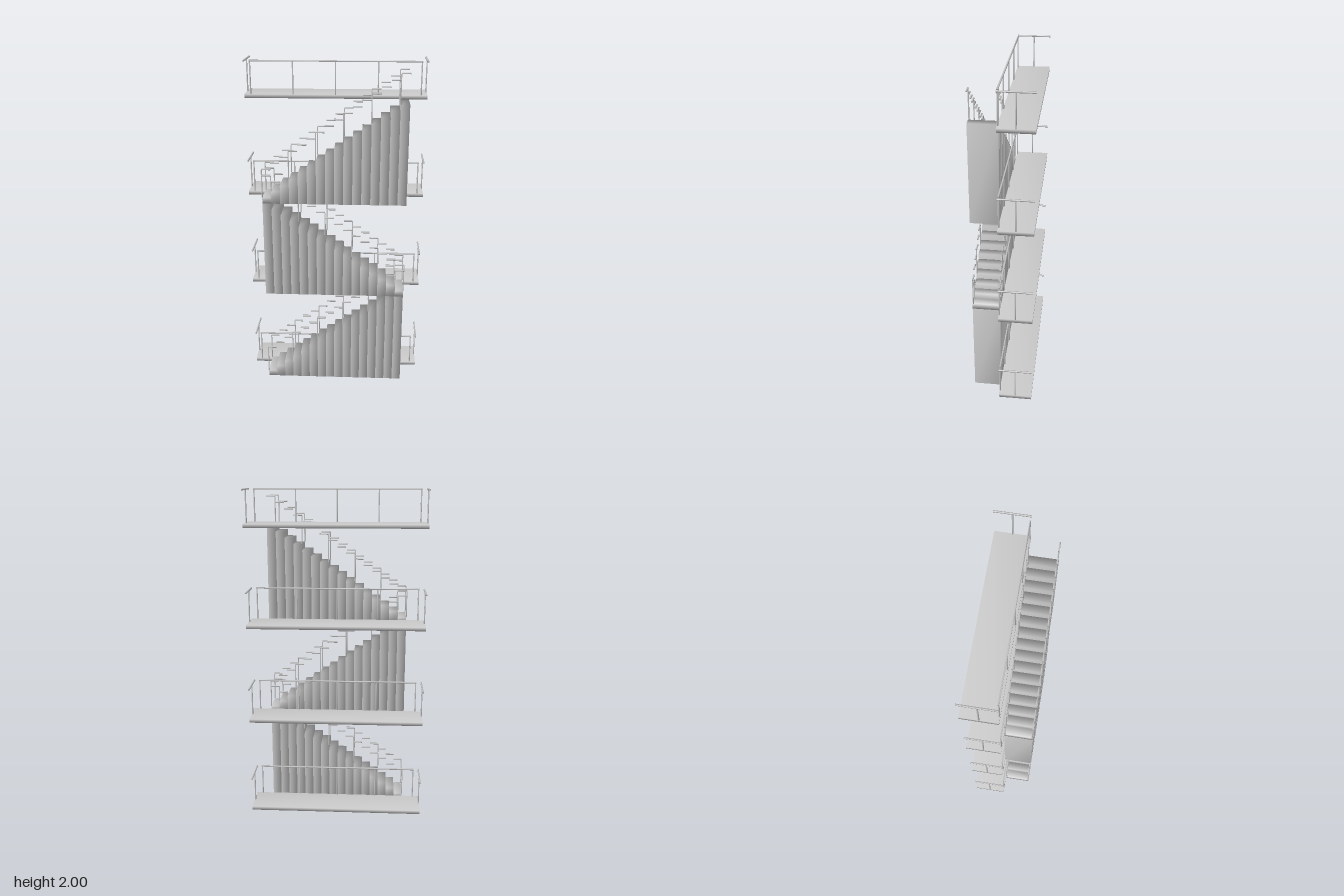
import * as THREE from 'three';
import { mergeVertices } from 'three/addons/utils/BufferGeometryUtils.js';

const STOREY = 0.594, STEPS = 16, FLIGHT = 0.85;
const RUN = FLIGHT / STEPS, RISE = STOREY / STEPS;
const BACK = -0.185, FRONT = 0.185, JOIN = 0.017;
const material = new THREE.MeshStandardMaterial({ color: 0xcccccc });

// Box between two corners, with corner normals averaged for soft shading
function box(parent, name, [x0, y0, z0], [x1, y1, z1]) {
  let geometry = new THREE.BoxGeometry(x1 - x0, y1 - y0, z1 - z0);
  geometry.deleteAttribute('normal');
  geometry.deleteAttribute('uv');
  geometry = mergeVertices(geometry);
  geometry.computeVertexNormals();
  const mesh = new THREE.Mesh(geometry, material);
  mesh.name = name;
  mesh.position.set((x0 + x1) / 2, (y0 + y1) / 2, (z0 + z1) / 2);
  parent.add(mesh);
}

function post(parent, name, x, z, y0, y1, r = 0.0035) {
  box(parent, name, [x - r, y0, z - r], [x + r, y1, z + r]);
}

// Landing slab with a front railing and a short railing at each end
function createLanding() {
  const landing = new THREE.Group();
  landing.name = 'landing';
  const w = 0.533, slab = 0.022, top = 0.218, rail = 0.008;
  box(landing, 'landingSlab', [-w, 0, BACK], [w, slab, JOIN]);

  const z = JOIN - 0.004;
  box(landing, 'frontRail', [-0.5, top - rail, z - 0.004], [0.5, top, z + 0.004]);
  for (let i = -2; i <= 2; i++) post(landing, 'frontRailPost', i * 0.2475, z, slab, top - rail);

  for (const side of [-1, 1]) {
    const x = side * (w - 0.004);
    box(landing, 'endRail', [x - 0.004, top - rail, BACK], [x + 0.004, top, JOIN]);
    post(landing, 'endRailPost', x, (BACK + JOIN) / 2, slab, top - rail);
  }
  return landing;
}

// Flight of solid steps with a stepped handrail on both sides; dir = +1 climbs to +x
function createFlight(dir) {
  const flight = new THREE.Group();
  flight.name = 'stairFlight';
  for (let i = 0; i < STEPS; i++) {
    const a = dir * (-FLIGHT / 2 + i * RUN), b = a + dir * RUN;
    const x0 = Math.min(a, b), x1 = Math.max(a, b), top = (i + 1) * RISE;
    box(flight, 'step', [x0, 0, JOIN + 0.002], [x1, top, FRONT]);
    for (const z of [JOIN + 0.007, FRONT - 0.005]) {
      box(flight, 'handrailSlat', [x0, top + 0.168, z - 0.004], [x1, top + 0.176, z + 0.004]);
      // a post at the riser of every third step
      if (i % 3 === 0) post(flight, 'handrailPost', a, z, top, top + 0.168, 0.003);
    }
  }
  return flight;
}

export function createModel() {
  const model = new THREE.Group();
  model.name = 'stairTower';
  for (let level = 0; level < 4; level++) {
    const landing = createLanding();
    landing.position.y = level * STOREY;
    model.add(landing);
    if (level < 3) {
      const flight = createFlight(level % 2 ? -1 : 1);
      flight.position.y = level * STOREY;
      model.add(flight);
    }
  }
  return model;
}
